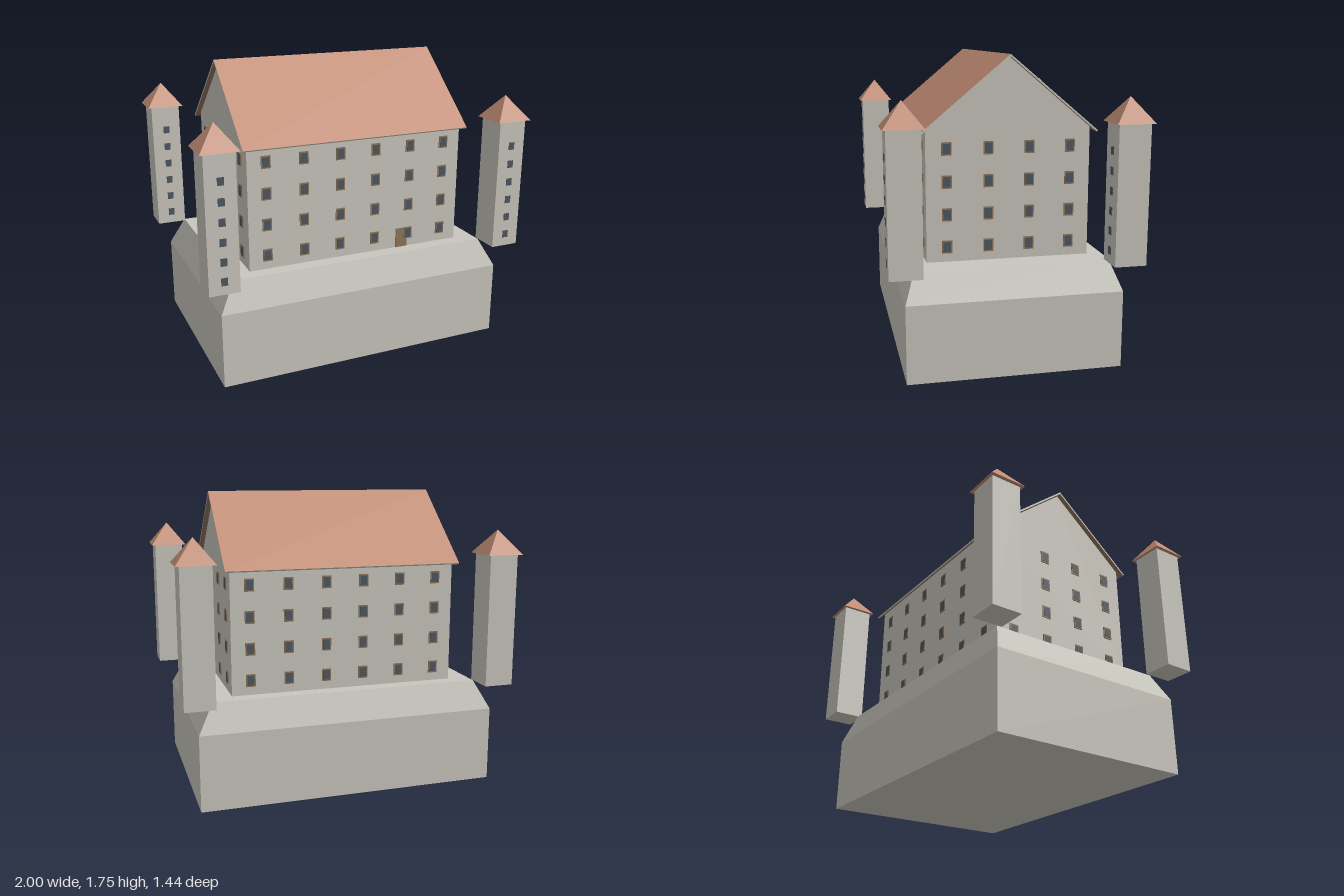
import * as THREE from 'three';

const material = (name, color) => {
  const m = new THREE.MeshStandardMaterial({ color });
  m.name = name;
  return m;
};

export function createModel() {
  const stone = material('stone', 0xc8c6bd);
  const tile = material('roofTile', 0xc48f77);
  const glass = material('windowGlass', 0x4e5861);
  const wood = material('wood', 0x8f7559);

  const castle = new THREE.Group();
  castle.name = 'castle';

  const add = (parent, name, geometry, mat, x = 0, y = 0, z = 0) => {
    const mesh = new THREE.Mesh(geometry, mat);
    mesh.name = name;
    mesh.position.set(x, y, z);
    parent.add(mesh);
    return mesh;
  };
  const box = (w, h, d) => new THREE.BoxGeometry(w, h, d);

  // Flat-faced four-sided frustum or pyramid standing on y = 0
  const frustum = (topRatio, halfX, height, halfZ) => {
    const g = new THREE.CylinderGeometry(topRatio * Math.SQRT2, Math.SQRT2, height, 4, 1)
      .rotateY(Math.PI / 4).scale(halfX, 1, halfZ).translate(0, height / 2, 0).toNonIndexed();
    g.computeVertexNormals();
    return g;
  };

  // Rock plinth with sloping shoulders
  const floor = 0.615;
  add(castle, 'plinth', box(1.78, 0.445, 1.222), stone, 0, 0.2225, 0);
  add(castle, 'plinthShoulder', frustum(0.9, 0.89, floor - 0.445, 0.611), stone, 0, 0.445, 0);

  // House with gabled ends
  const halfX = 0.675, halfZ = 0.465, ridge = 1.742, eave = 1.352;
  const gable = new THREE.Shape([
    new THREE.Vector2(-halfZ, floor), new THREE.Vector2(halfZ, floor),
    new THREE.Vector2(halfZ, eave), new THREE.Vector2(0, ridge), new THREE.Vector2(-halfZ, eave),
  ]);
  add(castle, 'house', new THREE.ExtrudeGeometry(gable, { depth: halfX * 2, bevelEnabled: false })
    .translate(0, 0, -halfX).rotateY(Math.PI / 2), stone);

  // Two thin roof slopes with tiled tops, stone edges and wooden undersides
  const pitch = Math.atan2(ridge - eave, halfZ);
  const slopeLength = 0.5 / Math.cos(pitch);
  for (const side of [1, -1]) {
    const slope = new THREE.Group();
    slope.name = side > 0 ? 'frontRoof' : 'backRoof';
    slope.position.y = ridge;
    slope.rotation.x = side * pitch;
    castle.add(slope);
    add(slope, 'roofSlope', box(1.41, 0.01, slopeLength + 0.004),
      [stone, stone, tile, wood, stone, stone], 0, 0.005, side * (slopeLength / 2 - 0.006));
  }

  // Framed windows: one wall group per side, facing +z before turning
  const addWindows = (name, turn, distance, columns, spacing) => {
    const wall = new THREE.Group();
    wall.name = name;
    wall.rotation.y = turn;
    castle.add(wall);
    for (let row = 0; row < 4; row++) {
      for (let col = 0; col < columns; col++) {
        const x = (col - (columns - 1) / 2) * spacing;
        const y = 0.7 + row * 0.183;
        add(wall, 'windowFrame', box(0.056, 0.073, 0.008), wood, x, y, distance + 0.002);
        add(wall, 'windowPane', box(0.042, 0.057, 0.009), glass, x, y, distance + 0.0035);
      }
    }
  };
  addWindows('frontWindows', 0, halfZ, 6, 0.226);
  addWindows('backWindows', Math.PI, halfZ, 6, 0.226);
  addWindows('leftWindows', Math.PI / 2, halfX, 4, 0.233);
  addWindows('rightWindows', -Math.PI / 2, halfX, 4, 0.233);

  // Front door
  add(castle, 'door', box(0.078, 0.12, 0.006), wood, 0.297, floor + 0.06, halfZ + 0.001);

  // Corner towers with pyramid roofs and a column of front windows
  const towerTop = 1.395;
  for (const sx of [1, -1]) {
    for (const sz of [1, -1]) {
      const tower = new THREE.Group();
      tower.name = (sz > 0 ? 'front' : 'back') + (sx > 0 ? 'Left' : 'Right') + 'Tower';
      tower.position.set(sx * 0.891, 0, sz * 0.613);
      castle.add(tower);
      add(tower, 'towerShaft', box(0.174, towerTop - floor, 0.181), stone, 0, (towerTop + floor) / 2, 0);
      add(tower, 'towerRoof', frustum(0, 0.109, 0.14, 0.109), tile, 0, towerTop, 0);
      for (let i = 0; i < 6; i++) {
        add(tower, 'towerWindow', box(0.037, 0.044, 0.006), glass, 0, 0.69 + i * 0.111, 0.0905);
      }
    }
  }
  return castle;
}
